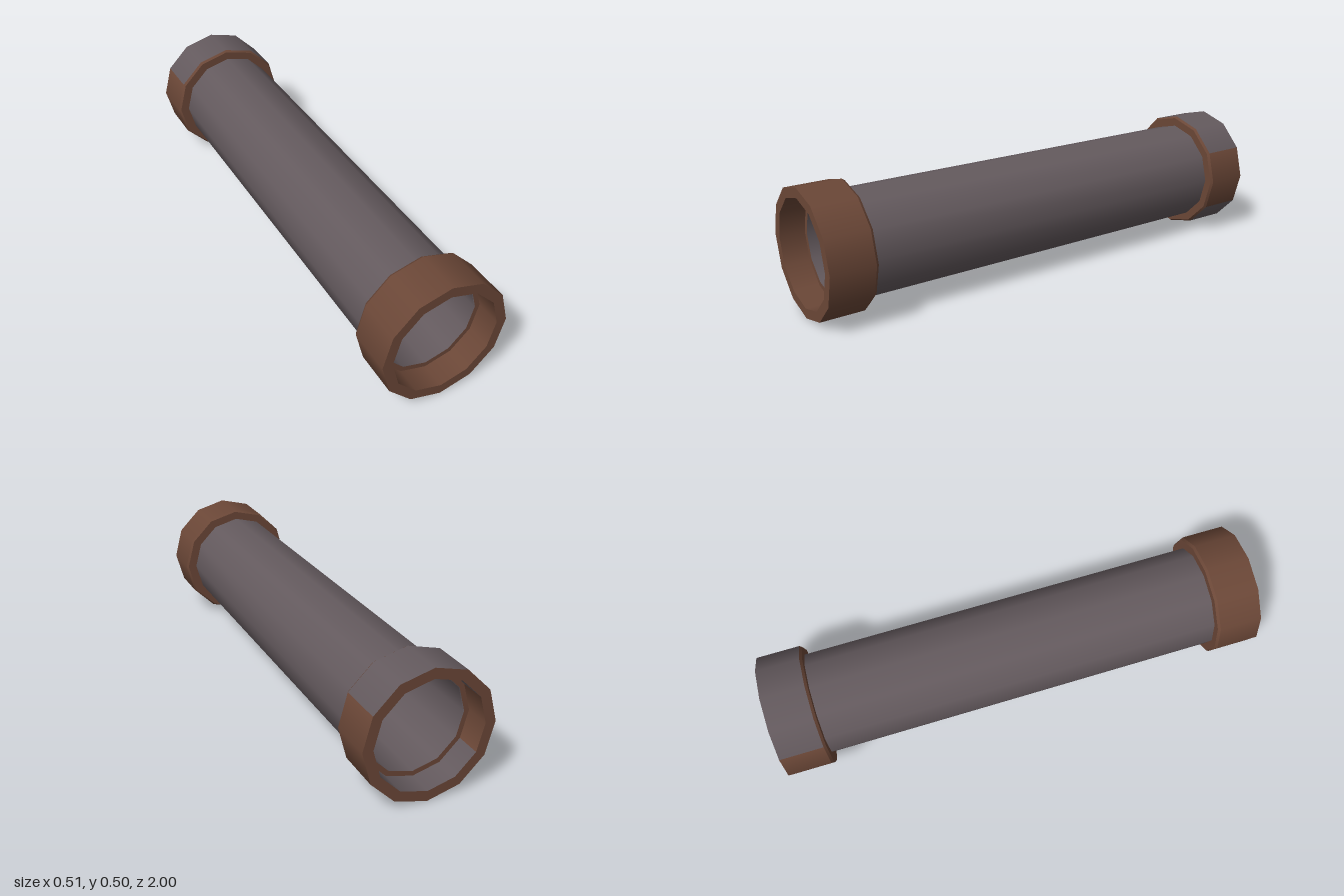
import * as THREE from 'three';

const SIDES = 12;
const OUTER = 0.252, BORE = 0.212, TUBE = 0.21, HOLE = 0.192;

export function createModel() {
  const model = new THREE.Group();
  model.name = 'pipe';
  const steel = new THREE.MeshStandardMaterial({ color: 0x645a5e, side: THREE.DoubleSide });
  steel.name = 'grey steel';
  const rust = new THREE.MeshStandardMaterial({ color: 0x6b4737, side: THREE.DoubleSide });
  rust.name = 'rust brown';

  const add = (parent, name, geometry, material) => {
    const mesh = new THREE.Mesh(geometry, material);
    mesh.name = name;
    parent.add(mesh);
  };

  // Open wall along z; first and count choose some of the twelve faces, from the bottom towards +x
  const wall = (r0, r1, z0, z1, first = 0, count = SIDES) => {
    const step = (Math.PI * 2) / SIDES;
    return new THREE.CylinderGeometry(r1, r0, z1 - z0, count, 1, true, first * step, count * step)
      .rotateX(Math.PI / 2)
      .translate(0, 0, (z0 + z1) / 2);
  };

  // Flat ring facing along z
  const ring = (inner, outer, z, dir) => {
    const g = new THREE.RingGeometry(inner, outer, SIDES, 1);
    if (dir < 0) g.rotateY(Math.PI);
    return g.translate(0, 0, z);
  };

  // Long hollow tube
  const tube = new THREE.Group();
  tube.name = 'tube';
  tube.position.y = 0.25;
  add(tube, 'tubeOutside', wall(TUBE, TUBE, -0.9, 0.9), steel);
  add(tube, 'tubeInside', wall(HOLE, HOLE, -0.9, 0.9), steel);
  model.add(tube);

  // A collar with a chamfered inner edge and a recessed ledge at each end
  for (const s of [1, -1]) {
    const collar = new THREE.Group();
    collar.name = s > 0 ? 'frontCollar' : 'backCollar';
    collar.position.set(s * 0.003, 0.25, 0);
    add(collar, 'collarFace', ring(BORE, OUTER, s, s), rust);
    add(collar, 'collarShoulder', ring(TUBE - 0.005, OUTER - 0.007, s * 0.815, -s), rust);
    add(collar, 'collarLedge', ring(HOLE, BORE, s * 0.9, s), rust);
    add(collar, 'collarChamfer', s > 0
      ? wall(OUTER - 0.007, OUTER, 0.815, 0.825)
      : wall(OUTER, OUTER - 0.007, -0.825, -0.815), rust);

    if (s > 0) {
      add(collar, 'collarOutside', wall(OUTER, OUTER, 0.825, 1), rust);
      add(collar, 'collarBore', wall(BORE, BORE, 0.9, 1), rust);
    } else {
      // Bare steel above and below, rusted flanks
      for (const [first, count, material] of [[2, 2, rust], [4, 4, steel], [8, 2, rust], [10, 4, steel]]) {
        add(collar, 'collarOutside', wall(OUTER, OUTER, -1, -0.825, first, count), material);
        add(collar, 'collarBore', wall(BORE, BORE, -1, -0.9, first, count), first === 8 ? rust : steel);
      }
    }
    model.add(collar);
  }
  return model;
}
